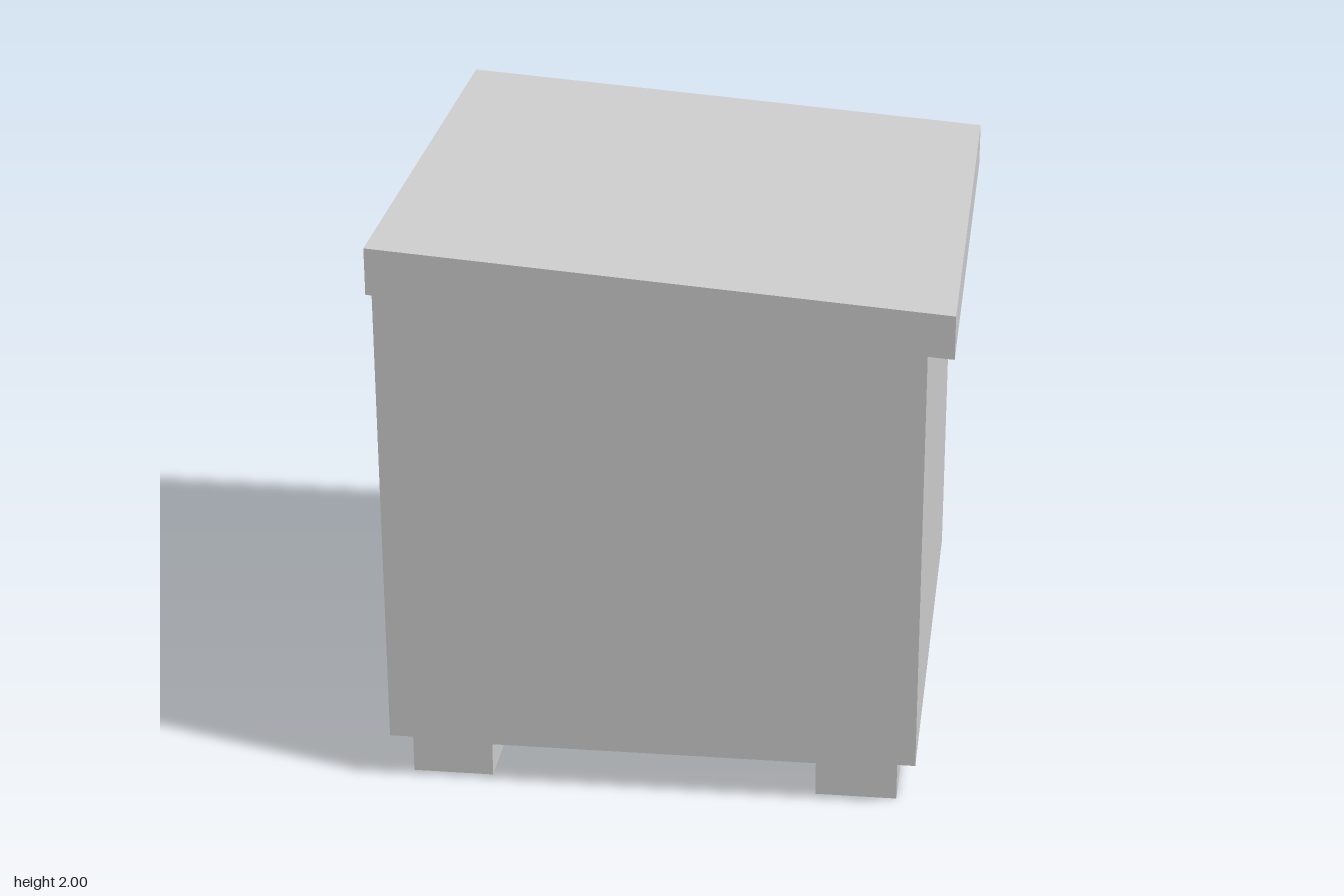
import * as THREE from 'three';

const material = new THREE.MeshStandardMaterial({ color: 0xcccccc, flatShading: true });

export function createModel() {
  const model = new THREE.Group();

  const add = (name, geometry) => {
    const mesh = new THREE.Mesh(geometry, material);
    mesh.name = name;
    model.add(mesh);
    return mesh;
  };

  // Side profile in x/y, extruded evenly about z = 0
  const slab = (name, points, depth) => {
    const shape = new THREE.Shape(points.map(([x, y]) => new THREE.Vector2(x, y)));
    const geometry = new THREE.ExtrudeGeometry(shape, { depth, bevelEnabled: false });
    return add(name, geometry.translate(0, 0, -depth / 2));
  };

  // Underside height of the sloping lid
  const lidBottom = (x) => 1.835 - ((x + 0.957) / 1.912) * 0.135;

  // Cabinet body, flush with the lid on the -x side
  slab('body', [
    [-0.957, 0.168], [0.865, 0.168], [0.865, lidBottom(0.865)], [-0.957, lidBottom(-0.957)],
  ], 1.82);

  // Sloping lid overhanging the other three sides
  slab('lid', [
    [-0.957, lidBottom(-0.957)], [0.955, lidBottom(0.955)], [0.955, 1.848], [-0.957, 1.995],
  ], 2);

  // Recessed base
  slab('base', [[-0.89, 0.12], [0.8, 0.12], [0.8, 0.168], [-0.89, 0.168]], 1.69);

  // Four square feet at the base corners
  for (const x of [-0.75, 0.66]) {
    for (const z of [-0.705, 0.705]) {
      add('foot', new THREE.BoxGeometry(0.28, 0.12, 0.28)).position.set(x, 0.06, z);
    }
  }

  return model;
}
